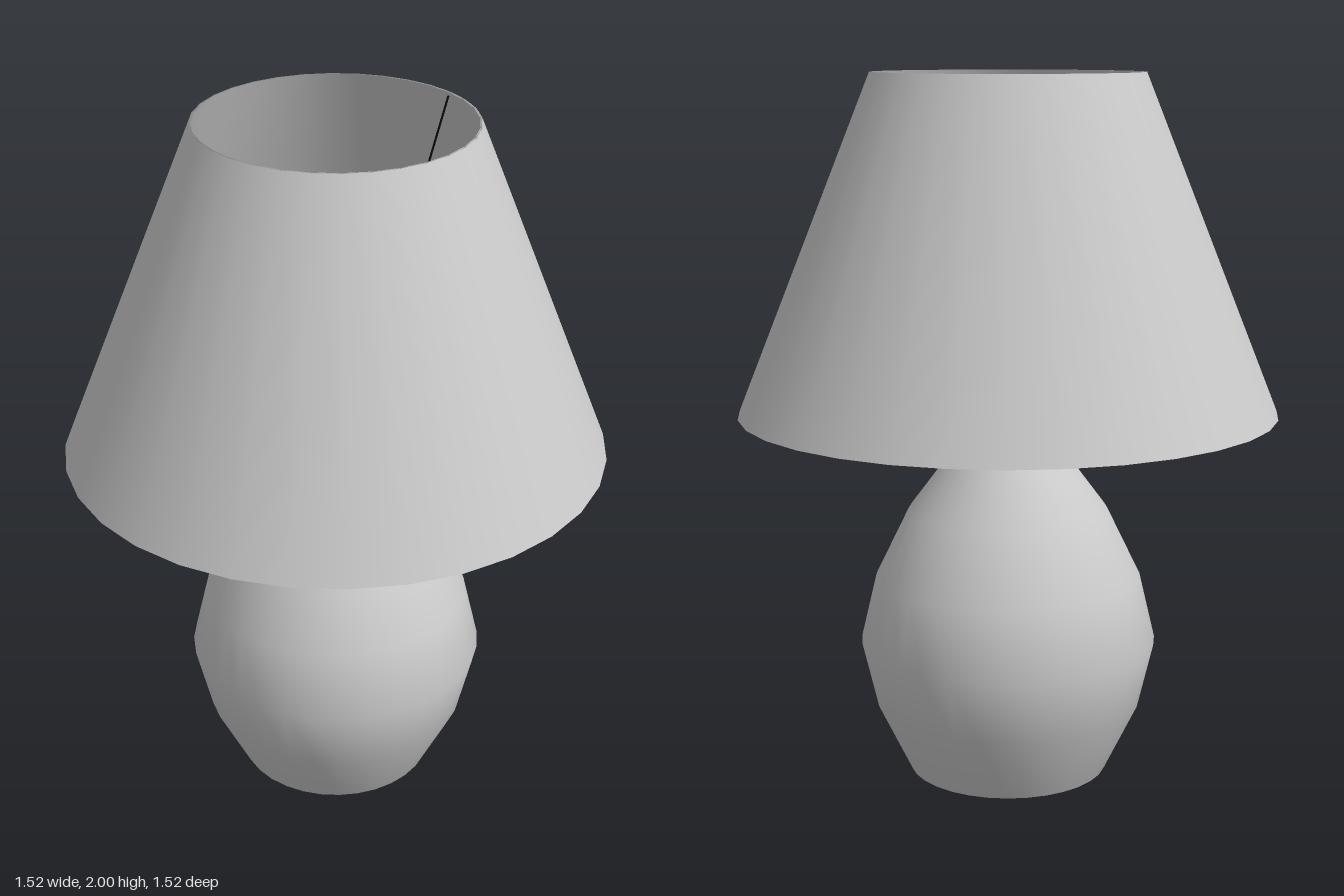
import * as THREE from 'three';

const SEGMENTS = 32;

export function createModel() {
  const lamp = new THREE.Group();
  lamp.name = 'tableLamp';
  const grey = new THREE.MeshStandardMaterial({ color: 0xcccccc, side: THREE.DoubleSide });
  const black = new THREE.MeshStandardMaterial({ color: 0x0a0a0a });

  const add = (name, geometry, material = grey, y = 0) => {
    const mesh = new THREE.Mesh(geometry, material);
    mesh.name = name;
    mesh.position.y = y;
    lamp.add(mesh);
    return mesh;
  };
  const lathe = (profile, segments = SEGMENTS) =>
    new THREE.LatheGeometry(profile.map(([r, y]) => new THREE.Vector2(r, y)), segments);

  // A thin-walled shell: up the outside, over the rim and back down the inside
  const shell = (outer, wall) => {
    const inner = outer.map(([r, y]) => [r - wall, y]).reverse();
    return lathe([inner[inner.length - 1], ...outer, ...inner]);
  };

  // Faceted, rounded vase body, open underneath
  add('base', shell([
    [0.285, 0], [0.38, 0.195], [0.425, 0.385], [0.38, 0.575], [0.285, 0.77], [0.143, 0.96],
  ], 0.012));
  add('baseCap', new THREE.CylinderGeometry(0.145, 0.145, 0.01, SEGMENTS), grey, 0.935);

  // Stem
  add('stem', new THREE.CylinderGeometry(0.024, 0.024, 0.18, 16), grey, 0.98);

  // Bulb holder: tapered foot, straight barrel and a flat collar
  add('socketFoot', new THREE.CylinderGeometry(0.086, 0.024, 0.05, 24, 1, true), grey, 1.08);
  add('socket', new THREE.CylinderGeometry(0.086, 0.086, 0.175, 24), grey, 1.1925);
  add('socketCollar', new THREE.CylinderGeometry(0.12, 0.12, 0.014, 24), grey, 1.21);

  // Bulb
  add('bulb', new THREE.SphereGeometry(0.095, SEGMENTS, 20), black, 1.33);

  // Conical shade, open at both ends
  add('shade', shell([[0.762, 1.055], [0.381, 2]], 0.006));

  // Two wires carrying the shade from the collar
  for (const side of [-1, 1]) {
    const wire = new THREE.LineCurve3(
      new THREE.Vector3(side * 0.1, 1.21, 0),
      new THREE.Vector3(side * 0.376, 1.99, 0));
    add(side > 0 ? 'leftShadeWire' : 'rightShadeWire',
      new THREE.TubeGeometry(wire, 1, 0.003, 6), black);
  }
  return lamp;
}
